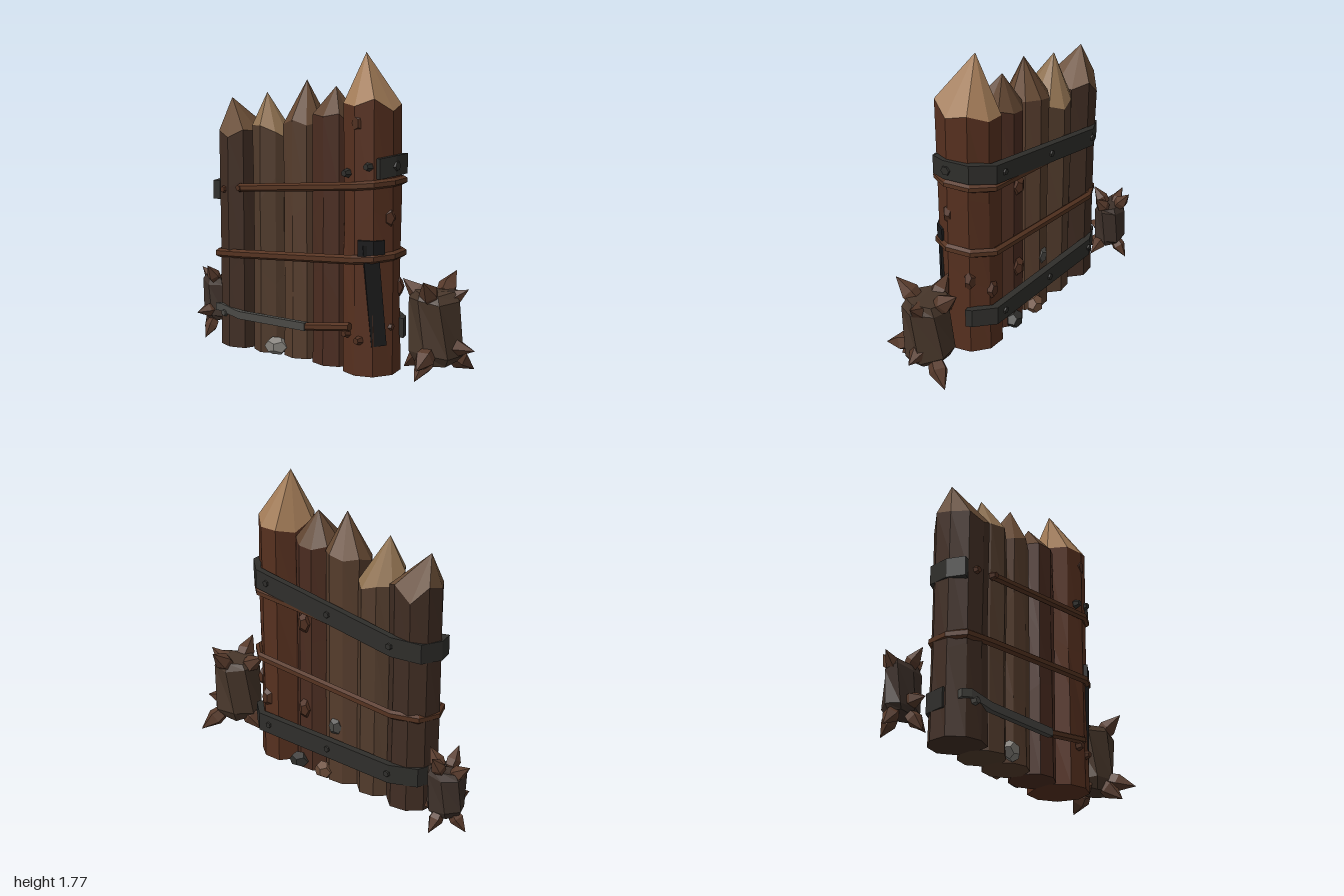
import * as THREE from 'three';

const V = (x, y, z) => new THREE.Vector3(x, y, z);
const mats = {};
const mat = (color) => (mats[color] ??= new THREE.MeshStandardMaterial({ color, flatShading: true, side: THREE.DoubleSide }));
const IRON = 0x2f2e2b, ROPE = 0x553321, STEEL = 0x4a4945, STONE = 0x85827c, BARK = 0x4f2f20, DARK = 0x1a1a1b;

let seed = 7;
const rand = () => (seed = (seed * 16807) % 2147483647) / 2147483647;
const jit = (a) => (rand() - 0.5) * 2 * a;

function add(parent, name, geo, color, pos) {
  const m = new THREE.Mesh(geo, mat(color));
  m.name = name;
  if (pos) m.position.copy(pos);
  parent.add(m);
  return m;
}

// Skin through rings of equal point count, with optional end caps
function loft(rings, { closed = false, caps = true } = {}) {
  const p = [], n = rings[0].length, last = rings.length - 1;
  const tri = (a, b, c) => p.push(...a.toArray(), ...b.toArray(), ...c.toArray());
  for (let r = 0; r < rings.length - (closed ? 0 : 1); r++) {
    const A = rings[r], B = rings[(r + 1) % rings.length];
    for (let i = 0; i < n; i++) {
      const j = (i + 1) % n;
      tri(A[i], B[i], B[j]);
      tri(A[i], B[j], A[j]);
    }
  }
  if (caps && !closed) for (let i = 1; i < n - 1; i++) {
    tri(rings[0][0], rings[0][i], rings[0][i + 1]);
    tri(rings[last][0], rings[last][i + 1], rings[last][i]);
  }
  const g = new THREE.BufferGeometry();
  g.setAttribute('position', new THREE.Float32BufferAttribute(p, 3));
  g.computeVertexNormals();
  return g;
}

// Sharpened log: uneven trunk and a pale carved point with a jagged shoulder
function makeLog(parent, { x, z, rx, rz, shoulder, apex, color, tip }) {
  const n = 9, g = new THREE.Group();
  g.name = 'log';
  const wob = Array.from({ length: n }, () => 0.99 + jit(0.05));
  const ring = (y, s, jy = 0) => wob.map((w, i) => {
    const a = (i / n) * Math.PI * 2 + 0.3, k = w * s + jit(0.03);
    return V(x + Math.cos(a) * rx * k, y + jit(jy), z + Math.sin(a) * rz * k);
  });
  const top = ring(shoulder, 0.99, 0.055);
  add(g, 'trunk', loft([ring(0.03, 1), ring(0.5, 0.98, 0.12), ring(0.95, 0.98, 0.12), top]), color);
  add(g, 'carvedTip', loft([top, top.map(() => apex)], { caps: false }), tip);
  parent.add(g);
}

// Band following a path around the logs; sides = 4 is a flat strap, 6 a rope
function band(parent, name, path, height, thick, color, sides = 4, closed = false) {
  const rings = path.map((p, i) => {
    const N = path.length;
    const a = closed ? path[(i + N - 1) % N] : path[Math.max(i - 1, 0)];
    const b = closed ? path[(i + 1) % N] : path[Math.min(i + 1, N - 1)];
    const out = V(a.z - b.z, 0, b.x - a.x).normalize();
    return Array.from({ length: sides }, (_, k) => {
      const t = ((k + 0.5) / sides) * Math.PI * 2, s = sides === 4 ? Math.SQRT1_2 : 0.5;
      return p.clone().addScaledVector(out, Math.cos(t) * thick * s).add(V(0, Math.sin(t) * height * s, 0));
    });
  });
  add(parent, name, loft(rings, { closed }), color);
}

// Stud facing outward along dir
function bolt(parent, pos, dir, color = IRON, r = 0.027) {
  const m = add(parent, 'bolt', new THREE.CylinderGeometry(r * 0.65, r, 0.035, 6), color, pos);
  m.quaternion.setFromUnitVectors(V(0, 1, 0), dir.clone().normalize());
}

function lump(parent, name, pos, sx, sy, sz, color) {
  const m = add(parent, name, new THREE.DodecahedronGeometry(1, 0), color, pos);
  m.scale.set(sx, sy, sz);
  m.rotation.y = jit(0.3);
}

// Short block studded with large spikes at its top and bottom corners
function spikedBlock(parent, name, c, rx, rz, half, tips, size, color) {
  const g = new THREE.Group();
  g.name = name;
  const ring = (y, s) => Array.from({ length: 7 }, (_, i) => {
    const a = (i / 7) * Math.PI * 2 + y * 1.2;
    return V(c.x + Math.cos(a) * rx * s * (1 + jit(0.06)), c.y + y + jit(0.015), c.z + Math.sin(a) * rz * s * (1 + jit(0.06)));
  });
  add(g, 'block', loft([ring(-half, 0.8), ring(-half * 0.75, 1), ring(half * 0.75, 0.98), ring(half, 0.8)]), color);
  for (const [x, y, z] of tips) {
    const tip = V(x, y, z), root = V(c.x, c.y + Math.sign(y - c.y) * half * 0.5, c.z);
    const dir = tip.clone().sub(root).normalize();
    const prof = [[0, 0], [0.24, 0.15], [0.29, 0.42], [0, 1]].map(([r, h]) => new THREE.Vector2(r * size, h * size));
    const m = add(g, 'spike', new THREE.LatheGeometry(prof, 5), 0x573a2b, tip.addScaledVector(dir, -size));
    m.quaternion.setFromUnitVectors(V(0, 1, 0), dir);
  }
  parent.add(g);
}

export function createModel() {
  const root = new THREE.Group();
  root.name = 'palisadeWall';

  // Five sharpened logs, lowest at -x
  [
    { x: -0.575, z: -0.102, rx: 0.145, rz: 0.155, shoulder: 1.29, apex: V(-0.66, 1.5, -0.12), color: 0x402d23, tip: 0x684c35 },
    { x: -0.345, z: -0.07, rx: 0.135, rz: 0.135, shoulder: 1.31, apex: V(-0.39, 1.54, -0.07), color: 0x513b2c, tip: 0x8f7150 },
    { x: -0.12, z: -0.03, rx: 0.13, rz: 0.13, shoulder: 1.37, apex: V(-0.1, 1.62, -0.02), color: 0x553c2c, tip: 0x664933 },
    { x: 0.11, z: 0.02, rx: 0.135, rz: 0.135, shoulder: 1.4, apex: V(0.1, 1.59, 0.01), color: 0x4a2c20, tip: 0x604531 },
    { x: 0.355, z: 0.083, rx: 0.16, rz: 0.18, shoulder: 1.49, apex: V(0.31, 1.78, 0.06), color: 0x56301f, tip: 0xa37c58 },
  ].forEach((l) => makeLog(root, l));

  // Plan outline around the row: front left to right, then along the back
  const plan = [[-0.69, 0.0], [-0.51, 0.055], [0.33, 0.262], [0.44, 0.235], [0.51, 0.14],
    [0.51, 0.0], [0.43, -0.105], [-0.51, -0.255], [-0.655, -0.215], [-0.71, -0.1]];
  const along = (from, to, h) => plan.slice(from, to).map(([x, z]) => V(x, h(x), z));

  // Ropes
  band(root, 'middleRope', along(0, 10, (x) => 0.645 + 0.09 * x), 0.052, 0.045, ROPE, 6, true);
  band(root, 'upperRope', along(1, 10, (x) => 1.04 + 0.1 * x), 0.048, 0.045, ROPE, 6);
  band(root, 'lowerRope', [V(0, 0.25, 0.175), V(0.31, 0.3, 0.252)], 0.048, 0.042, ROPE, 6);
  band(root, 'lowerFrontBar', [V(-0.71, 0.25, -0.02), V(-0.66, 0.26, 0.01), V(-0.51, 0.235, 0.055), V(0, 0.25, 0.178)], 0.045, 0.035, STEEL);

  // Iron straps over the back, wrapping the ends
  band(root, 'upperStrap', [V(0.46, 1.17, 0.225), ...along(4, 10, (x) => 1.09 + 0.18 * x), V(-0.7, 0.96, 0.0)], 0.11, 0.042, IRON);
  band(root, 'lowerStrap', [V(0.51, 0.27, 0.03), ...along(5, 10, (x) => 0.26 + 0.03 * x)], 0.11, 0.042, IRON);

  // Slanted dark bracket on the front corner of the tall log
  band(root, 'bracketTop', [V(0.36, 0.74, 0.255), V(0.44, 0.74, 0.23), V(0.48, 0.74, 0.18)], 0.085, 0.025, DARK);
  const strip = add(root, 'bracketStrip', new THREE.BoxGeometry(0.085, 0.56, 0.025), DARK, V(0.44, 0.48, 0.215));
  strip.rotation.set(0, 0.65, 0.09, 'YXZ');

  // Bolts on front, ends and back
  const F = V(-0.25, 0, 1), B = V(0.16, 0, -1), R = V(1, 0, 0.1);
  [[-0.5, 0.99, 0.065], [-0.63, 0.97, 0.025], [0.28, 1.14, 0.245], [0.41, 1.18, 0.245], [0.28, 0.26, 0.245], [0.36, 0.23, 0.255]]
    .forEach((p) => bolt(root, V(...p), F, p[1] < 0.5 || p[0] < 0 ? BARK : IRON));
  bolt(root, V(-0.63, 0.23, 0.03), F, STEEL);
  bolt(root, V(0.52, 1.18, 0.13), R, IRON, 0.04);
  bolt(root, V(0.5, 0.3, 0.14), R, BARK);
  for (const x of [0.36, -0.08, -0.5]) {
    const z = -0.186 + 0.16 * x;
    bolt(root, V(x, 1.09 + 0.18 * x, z), B);
    bolt(root, V(x, 0.26 + 0.03 * x, z), B);
  }

  // Knots in the bark
  [[0.35, 1.41, 0.225], [0.485, 0.9, 0.14], [0.485, 0.5, 0.02], [0.4, 0.42, -0.07], [0.13, 0.95, -0.1], [0.13, 0.42, -0.1]]
    .forEach((p) => lump(root, 'knot', V(...p), 0.042, 0.06, 0.035, BARK));

  // Loose stones at the foot
  lump(root, 'stone', V(-0.26, 0.08, 0.06), 0.075, 0.055, 0.05, STONE);
  lump(root, 'stone', V(0.17, 0.08, -0.1), 0.065, 0.05, 0.05, IRON);
  lump(root, 'stone', V(-0.02, 0.08, -0.14), 0.06, 0.055, 0.05, 0x6b4c39);
  lump(root, 'stone', V(-0.1, 0.38, -0.14), 0.045, 0.06, 0.035, STEEL);

  // Spiked blocks beside each end
  spikedBlock(root, 'leftSpikedBlock', V(0.765, 0.335, 0.13), 0.145, 0.14, 0.19, [
    [0.56, 0.57, 0.11], [0.8, 0.605, -0.07], [0.95, 0.55, 0.13], [0.77, 0.605, 0.32],
    [0.57, 0.08, 0.11], [0.92, 0.07, -0.05], [0.99, 0.22, 0.13], [0.77, 0.15, 0.4], [0.73, 0.07, 0.33]], 0.19, 0x47362a);
  spikedBlock(root, 'rightSpikedBlock', V(-0.855, 0.245, -0.27), 0.112, 0.09, 0.13, [
    [-1, 0.42, -0.29], [-0.83, 0.48, -0.4], [-0.73, 0.45, -0.22], [-0.87, 0.46, -0.15],
    [-0.99, 0.03, -0.29], [-0.82, 0.03, -0.4], [-0.7, 0.07, -0.21], [-0.88, 0.01, -0.13], [-0.92, 0.17, -0.1]], 0.145, 0x3d3029);
  return root;
}
